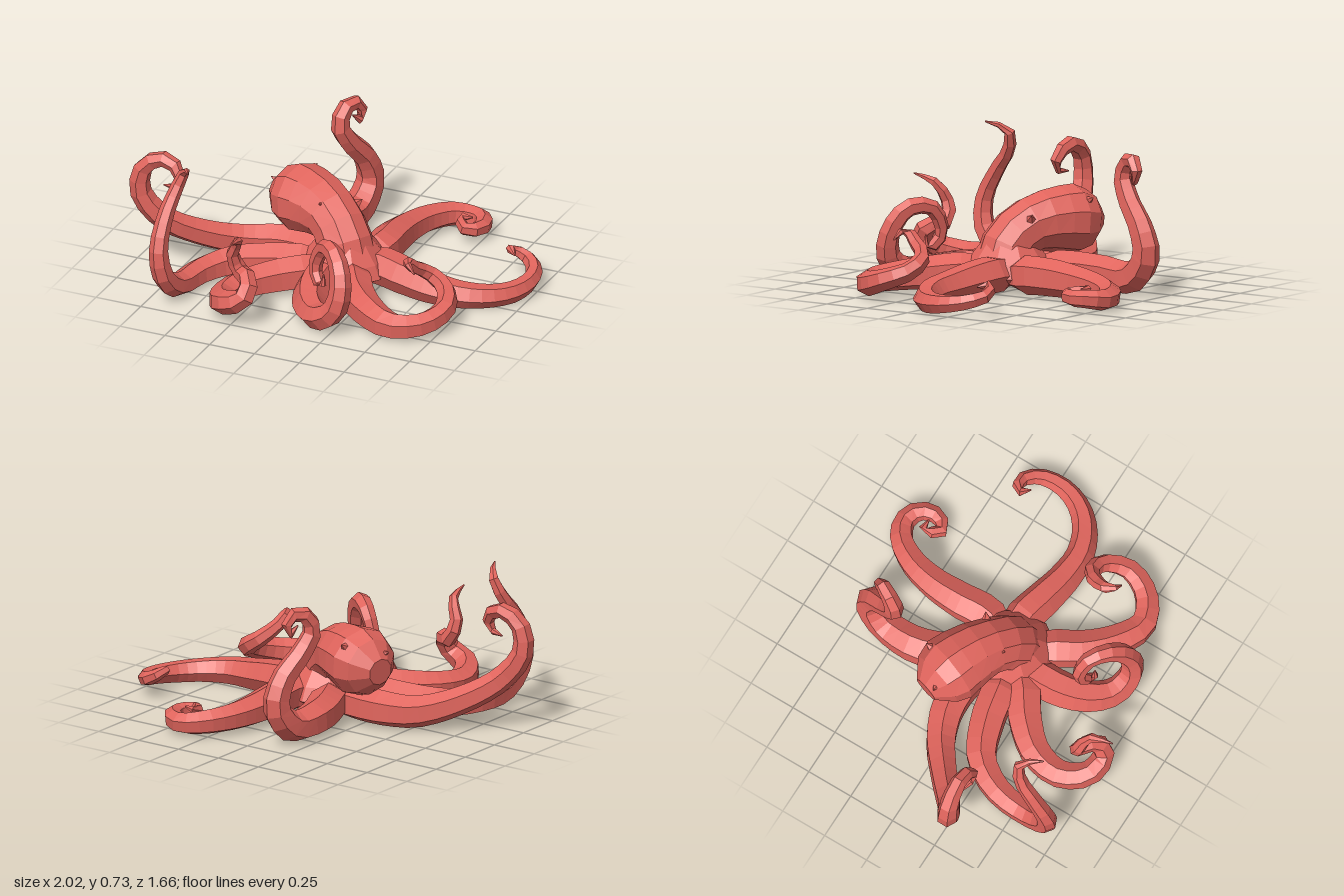
import * as THREE from 'three';

const skin = new THREE.MeshStandardMaterial({ color: 0xe0645c, flatShading: true });

// Tapered limb: each point is [x, y, z, radius]; both ends are closed.
function limb(name, pts, rings, sides) {
  const curve = new THREE.CatmullRomCurve3(pts.map(p => new THREE.Vector3(p[0], p[1], p[2])));
  const frames = curve.computeFrenetFrames(rings);
  const pos = [], idx = [];
  for (let i = 0; i <= rings; i++) {
    const t = curve.getUtoTmapping(i / rings) * (pts.length - 1);
    const k = Math.min(Math.floor(t), pts.length - 2);
    const r = THREE.MathUtils.lerp(pts[k][3], pts[k + 1][3], t - k);
    const c = curve.getPointAt(i / rings);
    for (let j = 0; j < sides; j++) {
      const a = (j / sides) * Math.PI * 2;
      const p = c.clone()
        .addScaledVector(frames.normals[i], Math.cos(a) * r)
        .addScaledVector(frames.binormals[i], Math.sin(a) * r);
      pos.push(p.x, Math.max(p.y, 0.01), p.z);
      if (i < rings) {
        const n = (j + 1) % sides, q = i * sides;
        idx.push(q + j, q + n, q + sides + j, q + n, q + sides + n, q + sides + j);
      }
    }
  }
  // end caps
  for (let j = 1; j < sides - 1; j++) {
    const e = rings * sides;
    idx.push(0, j + 1, j, e, e + j, e + j + 1);
  }
  const g = new THREE.BufferGeometry();
  g.setAttribute('position', new THREE.Float32BufferAttribute(pos, 3));
  g.setIndex(idx);
  g.computeVertexNormals();
  const m = new THREE.Mesh(g, skin);
  m.name = name;
  return m;
}

// Arm centre lines, from the body outwards
const arms = {
  rightArm: [[-0.13, 0.1, -0.05], [-0.34, 0.1, -0.07], [-0.52, 0.1, -0.01], [-0.7, 0.16, 0.12], [-0.86, 0.27, 0.25],
    [-0.96, 0.42, 0.3], [-0.94, 0.56, 0.3], [-0.84, 0.62, 0.29], [-0.75, 0.58, 0.3], [-0.74, 0.5, 0.32], [-0.83, 0.48, 0.3]],
  frontRightArm: [[-0.12, 0.1, 0.1], [-0.32, 0.09, 0.14], [-0.5, 0.08, 0.22], [-0.6, 0.07, 0.38], [-0.63, 0.08, 0.58],
    [-0.65, 0.17, 0.69], [-0.67, 0.32, 0.71], [-0.67, 0.48, 0.63], [-0.65, 0.6, 0.54], [-0.61, 0.7, 0.52], [-0.55, 0.74, 0.62]],
  rightFrontCurlArm: [[-0.06, 0.1, 0.19], [-0.21, 0.09, 0.3], [-0.33, 0.08, 0.44], [-0.36, 0.08, 0.6], [-0.29, 0.12, 0.73],
    [-0.18, 0.17, 0.75], [-0.17, 0.25, 0.7], [-0.25, 0.27, 0.64], [-0.28, 0.36, 0.66], [-0.23, 0.46, 0.7], [-0.21, 0.5, 0.82]],
  frontArm: [[0.02, 0.1, 0.22], [0.03, 0.09, 0.37], [0.08, 0.075, 0.51], [0.17, 0.075, 0.6], [0.27, 0.14, 0.63],
    [0.3, 0.27, 0.61], [0.24, 0.4, 0.54], [0.14, 0.4, 0.46], [0.08, 0.26, 0.44], [0.14, 0.18, 0.49], [0.15, 0.26, 0.49]],
  frontLeftArm: [[0.18, 0.1, 0.2], [0.27, 0.09, 0.34], [0.4, 0.08, 0.46], [0.55, 0.07, 0.53], [0.69, 0.08, 0.46],
    [0.75, 0.12, 0.32], [0.69, 0.17, 0.2], [0.6, 0.23, 0.19], [0.55, 0.29, 0.27], [0.54, 0.35, 0.34], [0.6, 0.3, 0.37]],
  leftArm: [[0.22, 0.11, 0.0], [0.38, 0.1, 0.03], [0.55, 0.08, 0.06], [0.7, 0.07, 0.06], [0.84, 0.06, 0.0],
    [0.93, 0.06, -0.1], [0.965, 0.07, -0.22], [0.94, 0.09, -0.34], [0.86, 0.12, -0.4], [0.8, 0.16, -0.36], [0.84, 0.15, -0.32]],
  backLeftArm: [[0.16, 0.11, -0.14], [0.16, 0.11, -0.32], [0.17, 0.1, -0.48], [0.21, 0.09, -0.63], [0.29, 0.08, -0.75],
    [0.39, 0.07, -0.79], [0.47, 0.08, -0.75], [0.49, 0.08, -0.65], [0.43, 0.09, -0.6], [0.38, 0.11, -0.68], [0.44, 0.12, -0.68]],
  backRightArm: [[-0.08, 0.11, -0.16], [-0.16, 0.1, -0.38], [-0.15, 0.1, -0.58], [-0.13, 0.22, -0.68], [-0.14, 0.36, -0.64],
    [-0.18, 0.48, -0.54], [-0.21, 0.6, -0.48], [-0.19, 0.69, -0.53], [-0.15, 0.68, -0.6], [-0.15, 0.59, -0.6], [-0.17, 0.63, -0.55]],
};
const armRadius = [0.1, 0.096, 0.084, 0.073, 0.064, 0.056, 0.049, 0.042, 0.035, 0.026, 0.004];

export function createModel() {
  const model = new THREE.Group();
  model.name = 'octopus';

  // Arms, all meeting at the middle of the underside
  for (const [name, path] of Object.entries(arms)) {
    const pts = path.map((p, i) => [...p, armRadius[i]]);
    model.add(limb(name, [[0.05, 0.06, 0.04, 0.03], ...pts], 26, 6));
  }

  // Head and neck, leaning from the arm crown towards the back right
  model.add(limb('head', [
    [-0.41, 0.33, -0.17, 0.07], [-0.36, 0.335, -0.155, 0.14], [-0.25, 0.345, -0.12, 0.183], [-0.13, 0.35, -0.07, 0.162],
    [-0.02, 0.32, -0.01, 0.14], [0.06, 0.23, 0.04, 0.145], [0.08, 0.13, 0.05, 0.16], [0.08, 0.07, 0.05, 0.1],
  ], 9, 10));

  // Web joining the arms around the crown
  const profile = [[0.001, 0.06], [0.17, 0.05], [0.24, 0.09], [0.21, 0.16], [0.14, 0.25], [0.001, 0.32]];
  const web = new THREE.Mesh(
    new THREE.LatheGeometry(profile.map(p => new THREE.Vector2(p[0], p[1])), 10), skin);
  web.name = 'web';
  web.position.set(0.06, 0, 0.04);
  model.add(web);

  // Eye bumps near the neck and pointed skin horns on the head: position, direction, radius, height
  const bumps = [
    ['eye', [0.06, 0.38, -0.1], [0.6, 0.5, -0.5], 0.05, 0.08],
    ['eye', [-0.06, 0.42, 0.06], [0, 0.5, 0.8], 0.05, 0.06],
    ['horn', [-0.24, 0.45, -0.24], [0, 0.4, -0.8], 0.05, 0.08],
    ['horn', [-0.39, 0.41, -0.12], [-0.9, 0.4, 0.1], 0.04, 0.08],
  ];
  for (const [name, at, dir, r, h] of bumps) {
    const cone = new THREE.Mesh(new THREE.ConeGeometry(r, h, 5), skin);
    cone.name = name;
    cone.position.set(...at);
    cone.quaternion.setFromUnitVectors(new THREE.Vector3(0, 1, 0), new THREE.Vector3(...dir).normalize());
    model.add(cone);
  }
  return model;
}
